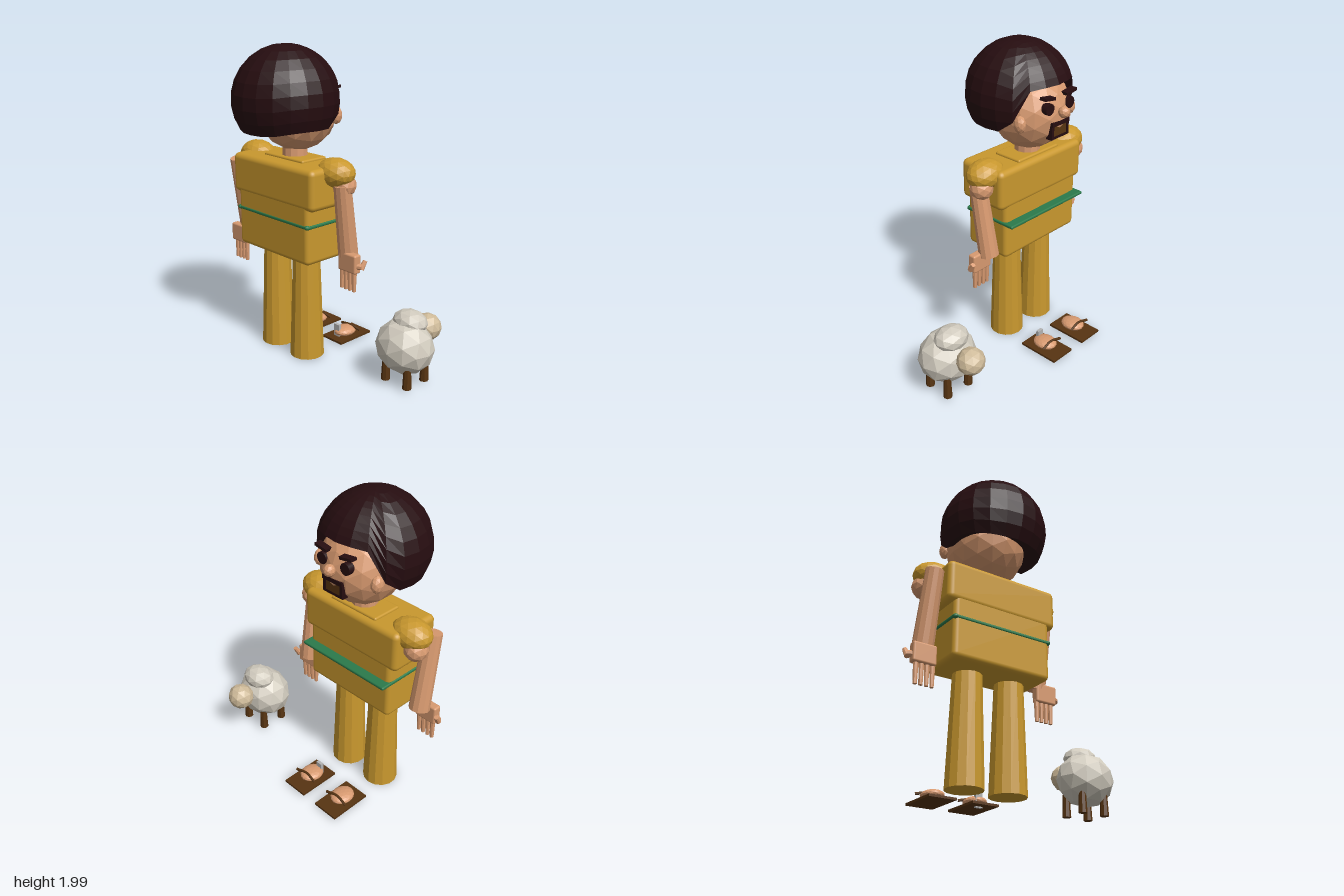
import * as THREE from 'three';
import { RoundedBoxGeometry } from 'three/addons/geometries/RoundedBoxGeometry.js';

const mat = (name, color) => {
  const m = new THREE.MeshStandardMaterial({ color });
  m.name = name;
  return m;
};

export function createModel() {
  const model = new THREE.Group();
  const hairMat = mat('darkHair', 0x260d10), skin = mat('skin', 0xd89a70), gold = mat('goldCloth', 0xc9982e);
  const green = mat('greenBelt', 0x2b7a4b), brown = mat('brownLeather', 0x573412), wool = mat('wool', 0xd2ccbf);
  const beige = mat('sheepFace', 0xcfbb9a), gray = mat('gray', 0xb4b4b4);

  // Helpers: faceted geometry, meshes, ellipsoids, boxes and rods
  const flat = (g) => {
    const f = g.index ? g.toNonIndexed() : g;
    f.computeVertexNormals();
    return f;
  };
  const add = (parent, name, geo, material, x = 0, y = 0, z = 0) => {
    const m = new THREE.Mesh(geo, material);
    m.name = name;
    m.position.set(x, y, z);
    parent.add(m);
    return m;
  };
  const blob = (parent, name, material, [x, y, z], [rx, ry, rz], detail = 1) =>
    add(parent, name, flat(new THREE.IcosahedronGeometry(1, detail).scale(rx, ry, rz)), material, x, y, z);
  const box = (parent, name, material, [x, y, z], [w, h, d], r = 0) =>
    add(parent, name, r ? new RoundedBoxGeometry(w, h, d, 3, r) : new THREE.BoxGeometry(w, h, d), material, x, y, z);
  const rod = (parent, name, material, top, bottom, rTop, rBottom, sides = 12) => {
    const a = new THREE.Vector3(...top), b = new THREE.Vector3(...bottom);
    const dir = a.clone().sub(b);
    const m = add(parent, name, flat(new THREE.CylinderGeometry(rTop, rBottom, dir.length(), sides)), material);
    m.position.copy(a).add(b).multiplyScalar(0.5);
    m.quaternion.setFromUnitVectors(new THREE.Vector3(0, 1, 0), dir.normalize());
    return m;
  };

  // The figure faces -z and stands left of the middle
  const person = new THREE.Group();
  person.name = 'person';
  person.position.x = -0.23;
  model.add(person);

  // Head
  blob(person, 'head', skin, [0, 1.59, 0.01], [0.25, 0.25, 0.25], 2);
  blob(person, 'nose', skin, [0, 1.625, -0.255], [0.035, 0.037, 0.037]);
  rod(person, 'neck', skin, [0, 1.42, 0.03], [0, 1.28, 0.03], 0.078, 0.082);

  // Hair: a dome whose lower edge rises over the face
  const smooth = THREE.MathUtils.smoothstep;
  const hair = new THREE.SphereGeometry(1, 20, 10, 0, Math.PI * 2, 0, 3);
  const p = hair.attributes.position, uv = hair.attributes.uv;
  for (let i = 0; i < p.count; i++) {
    const phi = uv.getX(i) * Math.PI * 2, v = 1 - uv.getY(i);
    const fromFace = Math.abs(THREE.MathUtils.radToDeg(Math.atan2(Math.cos(phi), -Math.sin(phi))));
    const edge = THREE.MathUtils.degToRad(70 + 48 * smooth(fromFace, 32, 66) + 6 * smooth(fromFace, 110, 160));
    const theta = Math.min(v / 0.9, 1) * edge;
    const r = v > 0.95 ? 0.17 : 0.333;
    p.setXYZ(i, -r * Math.cos(phi) * Math.sin(theta), r * Math.cos(theta), r * Math.sin(phi) * Math.sin(theta));
  }
  add(person, 'hair', flat(hair), hairMat, 0, 1.667, 0.1);

  // Face details in pairs
  for (const s of [-1, 1]) {
    const eye = add(person, 'eye', new THREE.CylinderGeometry(0.036, 0.036, 0.04, 16), hairMat, s * 0.09, 1.655, -0.207);
    eye.rotation.x = Math.PI / 2;
    const brow = box(person, 'eyebrow', hairMat, [s * 0.095, 1.72, -0.21], [0.09, 0.018, 0.045]);
    brow.rotation.z = s * 0.15;
    blob(person, 'ear', skin, [s * 0.222, 1.57, -0.11], [0.035, 0.055, 0.042]);
    box(person, 'beardSide', hairMat, [s * 0.066, 1.515, -0.212], [0.02, 0.1, 0.04]);
  }
  box(person, 'moustache', hairMat, [0, 1.555, -0.217], [0.152, 0.026, 0.04]);
  box(person, 'chinBeard', hairMat, [0, 1.47, -0.207], [0.152, 0.022, 0.04]);
  box(person, 'mouth', brown, [0, 1.512, -0.224], [0.12, 0.07, 0.008]);

  // Torso
  box(person, 'collar', gold, [0, 1.3, 0.03], [0.36, 0.03, 0.2], 0.012);
  box(person, 'chest', gold, [0, 1.172, 0.065], [0.745, 0.255, 0.34], 0.035);
  box(person, 'waist', gold, [0, 0.9, 0.065], [0.655, 0.4, 0.33], 0.03);
  box(person, 'belt', green, [0, 0.945, 0.038], [0.67, 0.022, 0.392], 0.009);
  for (const s of [-1, 1]) blob(person, 'beltEnd', green, [s * 0.318, 0.945, 0.22], [0.019, 0.015, 0.019]);

  // Arms, hands and legs
  const armPath = {
    '-1': [[-0.425, 1.24, 0.15], [-0.435, 0.75, 0.06], 0.12],
    '1': [[0.425, 1.2, 0.035], [0.41, 0.745, -0.035], 0]
  };
  for (const s of [-1, 1]) {
    const [top, bottom, handZ] = armPath[s];
    blob(person, 'sleeve', gold, [s * 0.365, 1.262, 0.03], [0.132, 0.09, 0.105], 2);
    blob(person, 'shoulder', skin, [s * 0.42, 1.19, 0.01], [0.073, 0.073, 0.073]);
    rod(person, 'arm', skin, top, bottom, 0.055, 0.064);

    const hand = new THREE.Group();
    hand.name = 'hand';
    hand.position.set(s * 0.455, 0, handZ);
    person.add(hand);
    box(hand, 'palm', skin, [0, 0.712, 0], [0.146, 0.12, 0.055], 0.012);
    for (let i = 0; i < 4; i++) {
      const x = -s * 0.008 + (i - 1.5) * 0.034;
      rod(hand, 'finger', skin, [x, 0.67, 0], [x, 0.53, 0.002], 0.017, 0.012, 8);
    }
    rod(hand, 'thumb', skin, [s * 0.06, 0.7, 0], [s * 0.095, 0.7, -0.015], 0.02, 0.018, 8);
    rod(hand, 'thumbTip', skin, [s * 0.095, 0.735, -0.04], [s * 0.09, 0.685, -0.01], 0.014, 0.018, 8);

    rod(person, 'leg', gold, [s * 0.142, 0.678, 0.068], [s * 0.142, 0.015, 0.068], 0.088, 0.111, 14);

    // Sandal with a foot and a strap
    box(person, 'sandalSole', brown, [s * 0.142, 0.027, -0.297], [0.178, 0.014, 0.28]);
    blob(person, 'foot', skin, [s * 0.142, 0.06, -0.282], [0.068, 0.033, 0.082], 2);
    const strap = new THREE.CatmullRomCurve3([[-0.085, 0.07, -0.338], [0, 0.085, -0.328], [0.085, 0.07, -0.338]]
      .map(([x, y, z]) => new THREE.Vector3(x + s * 0.142, y, z)));
    add(person, 'sandalStrap', new THREE.TubeGeometry(strap, 8, 0.009, 6), brown);
  }
  box(person, 'grayTag', gray, [0.13, 0.065, -0.222], [0.045, 0.105, 0.02]);

  // Sheep
  const sheep = new THREE.Group();
  sheep.name = 'sheep';
  sheep.position.x = 0.605;
  model.add(sheep);
  blob(sheep, 'body', wool, [0, 0.255, -0.095], [0.19, 0.17, 0.165]);
  blob(sheep, 'woolTuft', wool, [0, 0.4, -0.137], [0.115, 0.075, 0.095]);
  blob(sheep, 'sheepHead', beige, [0, 0.315, -0.303], [0.09, 0.086, 0.086]);
  for (const x of [-0.085, 0.085]) for (const z of [-0.024, -0.182])
    rod(sheep, 'sheepLeg', brown, [x, 0.17, z], [x, 0.028, z], 0.022, 0.028, 8);

  // Set the feet on the ground and centre in depth
  model.position.set(0, 0, 0);
  return model;
}
